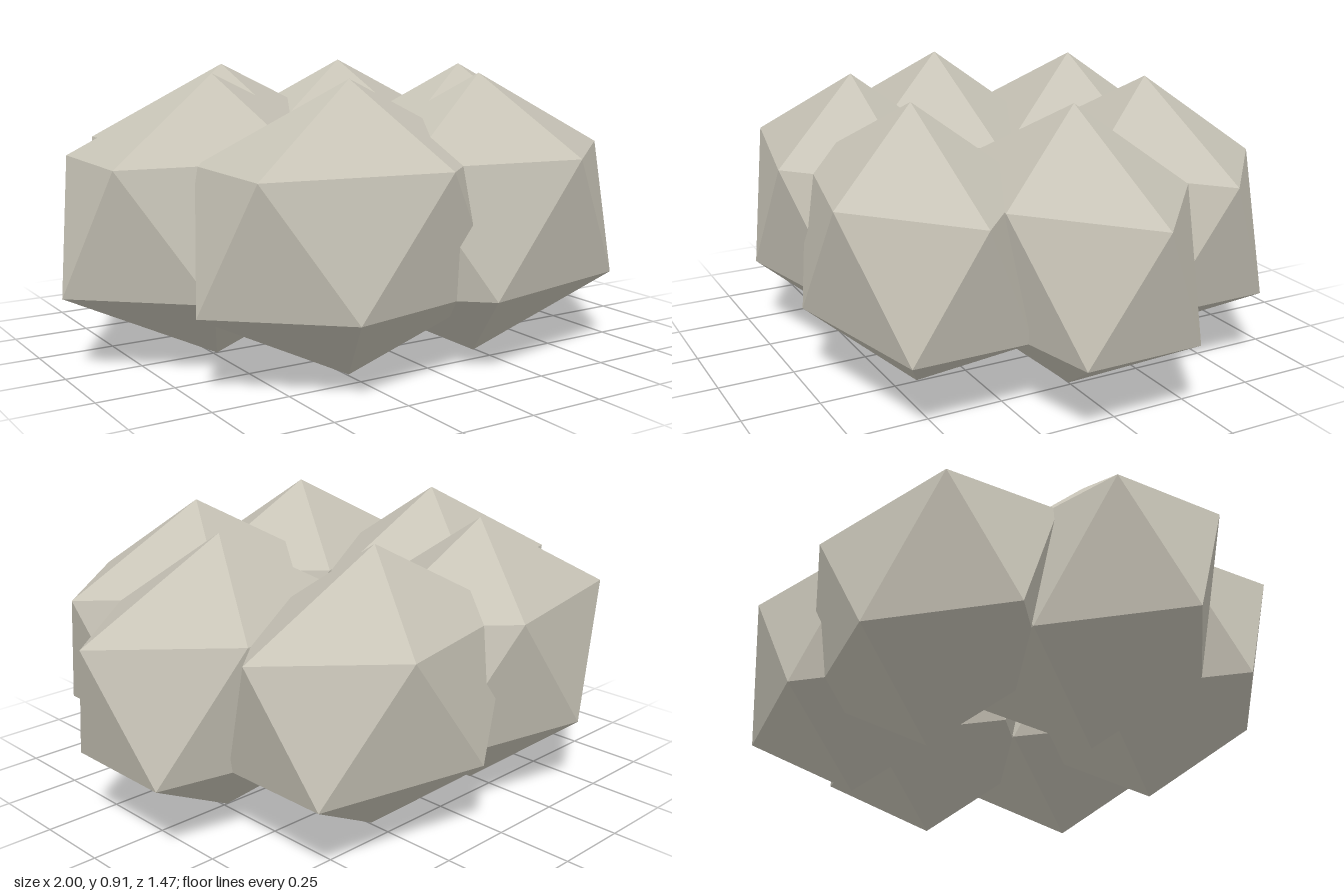
import * as THREE from 'three';

export function createModel() {
  const group = new THREE.Group();
  group.name = 'rockRing';
  const stone = new THREE.MeshStandardMaterial({ color: 0xc8c4b7, flatShading: true });
  stone.name = 'pale stone';

  // One faceted rock: an icosahedron standing on a corner, stretched along x
  const radius = 0.456;
  const rock = new THREE.IcosahedronGeometry(radius, 0);
  rock.rotateZ(-Math.atan(2 / (1 + Math.sqrt(5))));
  rock.scale(1.257, 1, 0.811);

  // Six rocks in a ring, all turned the same way
  const ring = 0.487;
  for (let i = 0; i < 6; i++) {
    const a = (i * Math.PI) / 3;
    const mesh = new THREE.Mesh(rock, stone);
    mesh.name = `rock${i + 1}`;
    mesh.position.set(ring * Math.cos(a), radius, ring * Math.sin(a));
    group.add(mesh);
  }
  return group;
}
